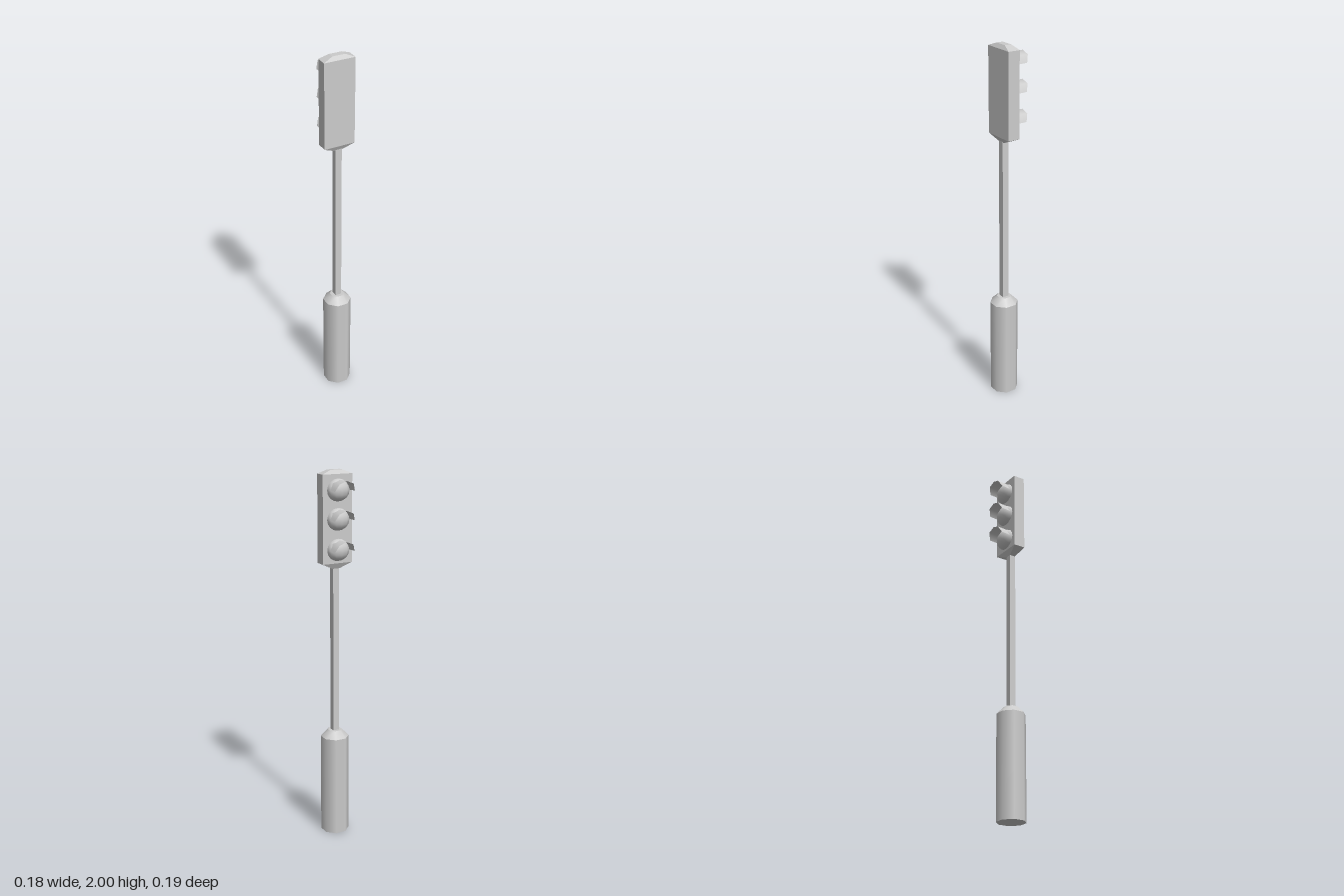
import * as THREE from 'three';
import { ConvexGeometry } from 'three/addons/geometries/ConvexGeometry.js';

const AXIS_Z = 0.022; // depth of the post's centre line
const grey = new THREE.MeshStandardMaterial({ color: 0xcccccc });
const flatGrey = new THREE.MeshStandardMaterial({ color: 0xcccccc, flatShading: true });
const thinGrey = new THREE.MeshStandardMaterial({ color: 0xcccccc, side: THREE.DoubleSide });

function add(parent, name, geometry, material, x = 0, y = 0, z = 0) {
  const mesh = new THREE.Mesh(geometry, material);
  mesh.name = name;
  mesh.position.set(x, y, z);
  parent.add(mesh);
  return mesh;
}

// Case: stacked rectangles [y, half width, half depth], slightly skewed in plan
function housingGeometry() {
  const rings = [[1.495, 0.02, 0.016], [1.525, 0.086, 0.032], [1.98, 0.086, 0.032], [2, 0.035, 0.018]];
  const points = [];
  for (const [y, w, d] of rings) {
    for (const sx of [-1, 1]) {
      for (const sz of [-1, 1]) {
        points.push(new THREE.Vector3(sx * w - sz * d * 0.075, y, sz * d + sx * w * 0.015));
      }
    }
  }
  return new ConvexGeometry(points);
}

// Visor: half tube, its lower front corners cut back
function visorGeometry() {
  const geometry = new THREE.CylinderGeometry(1, 1, 1, 4, 1, true, -Math.PI / 2, Math.PI);
  geometry.rotateX(-Math.PI / 2); // arch upwards, axis along z
  const p = geometry.attributes.position;
  for (let i = 0; i < p.count; i++) {
    const up = Math.max(0, p.getY(i));
    const tip = -0.08 - 0.017 * Math.min(1, up / 0.7);
    p.setXYZ(i, p.getX(i) * 0.058, up * 0.052, p.getZ(i) < 0 ? tip : -0.005);
  }
  geometry.computeVertexNormals();
  return geometry;
}

export function createModel() {
  const model = new THREE.Group();
  model.name = 'trafficLight';

  // Eight-sided base with a sloping shoulder
  const base = new THREE.Group();
  base.name = 'base';
  base.position.z = AXIS_Z;
  base.rotation.y = Math.PI / 8 - 0.045;
  model.add(base);
  add(base, 'baseColumn', new THREE.CylinderGeometry(0.077, 0.077, 0.56, 8), grey, 0, 0.28, 0);
  add(base, 'baseShoulder', new THREE.CylinderGeometry(0.039, 0.077, 0.038, 8), grey, 0, 0.579, 0);

  // Square pole
  const pole = add(model, 'pole', new THREE.BoxGeometry(0.035, 0.93, 0.035), flatGrey, 0, 1.05, AXIS_Z);
  pole.rotation.y = -0.05;

  // Signal head
  add(model, 'housing', housingGeometry(), flatGrey, 0, 0, AXIS_Z - 0.002);

  // Three lamps, each under its visor, on the back face
  const visor = visorGeometry();
  const bulb = new THREE.SphereGeometry(1, 12, 8);
  bulb.scale(0.064, 0.058, 0.047);
  for (const y of [1.9, 1.752, 1.595]) {
    const lamp = new THREE.Group();
    lamp.name = 'lamp';
    lamp.position.y = y;
    model.add(lamp);
    add(lamp, 'bulb', bulb, grey, 0, 0, -0.01);
    add(lamp, 'visor', visor, thinGrey);
  }
  return model;
}
